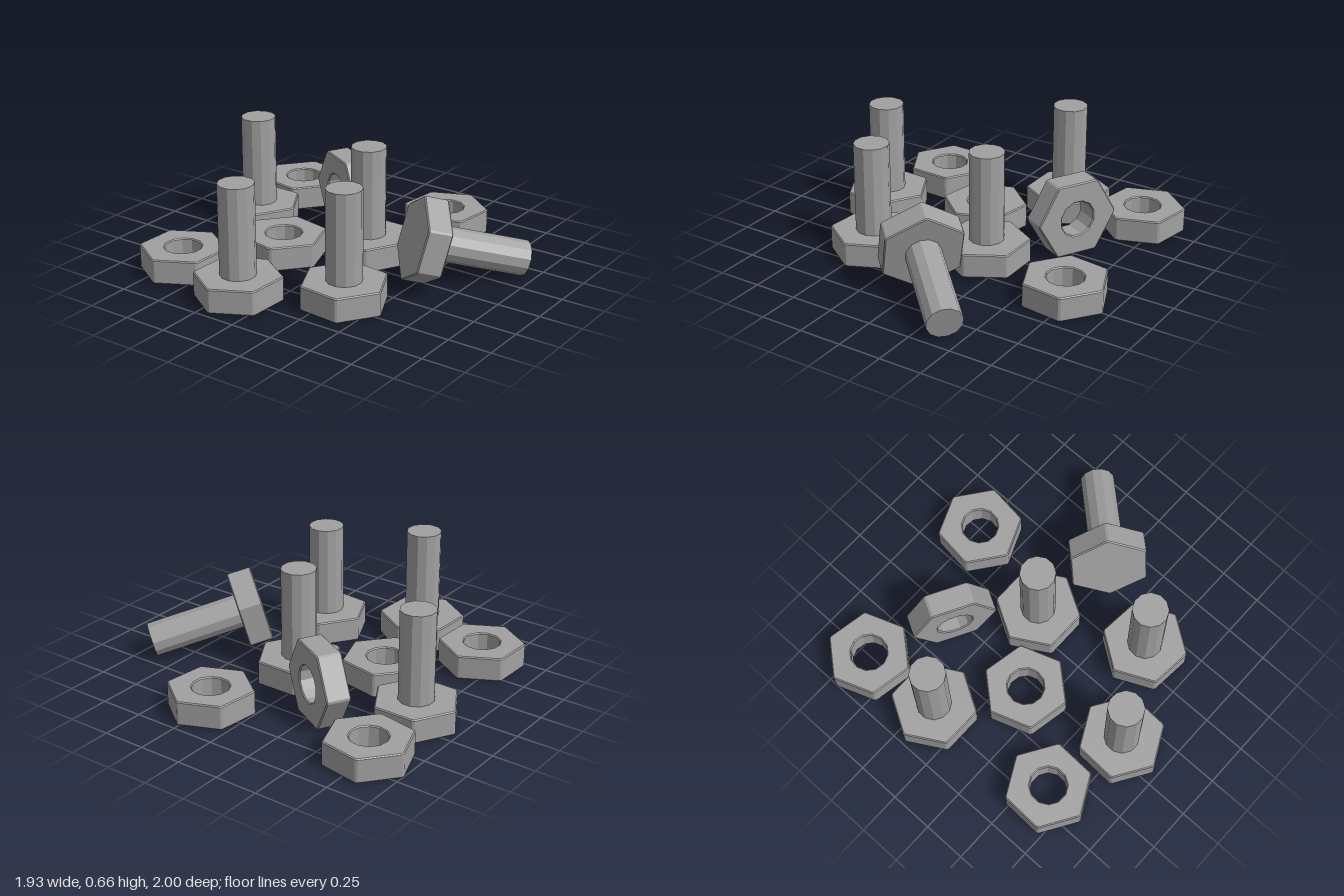
import * as THREE from 'three';

const HEAD_H = 0.14, HEAD_R = 0.2475, SHAFT_R = 0.1, BOLT_H = 0.66, CHAMFER = 0.006;
const deg = THREE.MathUtils.degToRad;

const steel = new THREE.MeshStandardMaterial({ color: 0xa0a0a0 });
steel.name = 'steel grey';

// Hexagon with tiny clipped corners, one corner pointing along +x
function hexShape() {
  const points = [];
  for (let i = 0; i < 6; i++) {
    const a = deg(60 * i);
    for (const side of [-1, 1]) {
      const r = HEAD_R - 0.004, t = side * 0.007;
      points.push(new THREE.Vector2(r * Math.cos(a) - t * Math.sin(a), r * Math.sin(a) + t * Math.cos(a)));
    }
  }
  return new THREE.Shape(points);
}

// Chamfered hexagonal block standing on y = 0, with an optional 12-sided bore
function hexBlock(boreRadius) {
  const shape = hexShape();
  if (boreRadius) {
    const ring = [];
    for (let i = 0; i < 12; i++) {
      const a = -deg(15 + 30 * i);
      ring.push(new THREE.Vector2(boreRadius * Math.cos(a), boreRadius * Math.sin(a)));
    }
    shape.holes.push(new THREE.Path(ring));
  }
  const geo = new THREE.ExtrudeGeometry(shape, {
    depth: HEAD_H - 2 * CHAMFER, bevelEnabled: true, bevelSegments: 1,
    bevelSize: CHAMFER, bevelThickness: CHAMFER, bevelOffset: -CHAMFER,
  });
  geo.translate(0, 0, CHAMFER).rotateX(-Math.PI / 2);
  return geo;
}

const headGeo = hexBlock(0);
const nutGeo = hexBlock(0.104);
// Faceted 12-sided shaft, slightly sunk into the head
const shaftStart = HEAD_H - 0.01;
const shaftGeo = new THREE.CylinderGeometry(SHAFT_R, SHAFT_R, BOLT_H - shaftStart, 12)
  .rotateY(deg(15))
  .translate(0, (BOLT_H + shaftStart) / 2, 0)
  .toNonIndexed();
shaftGeo.computeVertexNormals();

function part(name, geo) {
  const mesh = new THREE.Mesh(geo, steel);
  mesh.name = name;
  return mesh;
}

function makeBolt(name) {
  const bolt = new THREE.Group();
  bolt.name = name;
  bolt.add(part('boltHead', headGeo), part('boltShaft', shaftGeo));
  return bolt;
}

// Puts an object's base at a point, with its axis and one hex corner along given directions
function orient(object, base, axis, corner) {
  const side = new THREE.Vector3().crossVectors(corner, axis);
  object.quaternion.setFromRotationMatrix(new THREE.Matrix4().makeBasis(corner, axis, side));
  object.position.copy(base);
}

export function createModel() {
  const model = new THREE.Group();
  model.name = 'nutsAndBolts';

  // Bolts standing on their heads: x, z, turn in degrees
  [[0.18, -0.733, 30], [0.13, 0.08, 30], [-0.725, -0.175, -2.5], [-0.46, 0.328, 25]].forEach(([x, z, turn], i) => {
    const bolt = makeBolt(`uprightBolt${i + 1}`);
    bolt.position.set(x, 0, z);
    bolt.rotation.y = deg(turn);
    model.add(bolt);
  });

  // Nuts lying flat
  [[-0.61, -0.656, -2], [-0.135, -0.318, 19], [0.657, -0.762, 20], [0.72, 0.228, -7]].forEach(([x, z, turn], i) => {
    const nut = part(`flatNut${i + 1}`, nutGeo);
    nut.position.set(x, 0, z);
    nut.rotation.y = deg(turn);
    model.add(nut);
  });

  // Nut standing on one of its flats
  const standing = part('standingNut', nutGeo);
  const nutTurn = deg(28.5);
  const nutAxis = new THREE.Vector3(Math.cos(nutTurn), 0, Math.sin(nutTurn));
  const nutCorner = new THREE.Vector3(-Math.sin(nutTurn), 0, Math.cos(nutTurn));
  const nutBase = new THREE.Vector3(0.45, 0.215, -0.296).addScaledVector(nutAxis, -HEAD_H / 2);
  orient(standing, nutBase, nutAxis, nutCorner);
  model.add(standing);

  // Fallen bolt resting on its tip and one corner of its head
  const fallen = makeBolt('fallenBolt');
  const tilt = Math.atan2(0.1435, BOLT_H - HEAD_H), heading = deg(43), roll = deg(2);
  const ch = Math.cos(heading), sh = Math.sin(heading), ct = Math.cos(tilt), st = Math.sin(tilt);
  const axis = new THREE.Vector3(ch * ct, -st, sh * ct);
  const up = new THREE.Vector3(ch * st, ct, sh * st);
  const across = new THREE.Vector3(sh, 0, -ch);
  const corner = up.multiplyScalar(Math.cos(roll)).addScaledVector(across, Math.sin(roll));
  const tip = new THREE.Vector3(0.42, SHAFT_R * ct, 0.92);
  orient(fallen, tip.addScaledVector(axis, -BOLT_H), axis, corner);
  model.add(fallen);

  return model;
}
